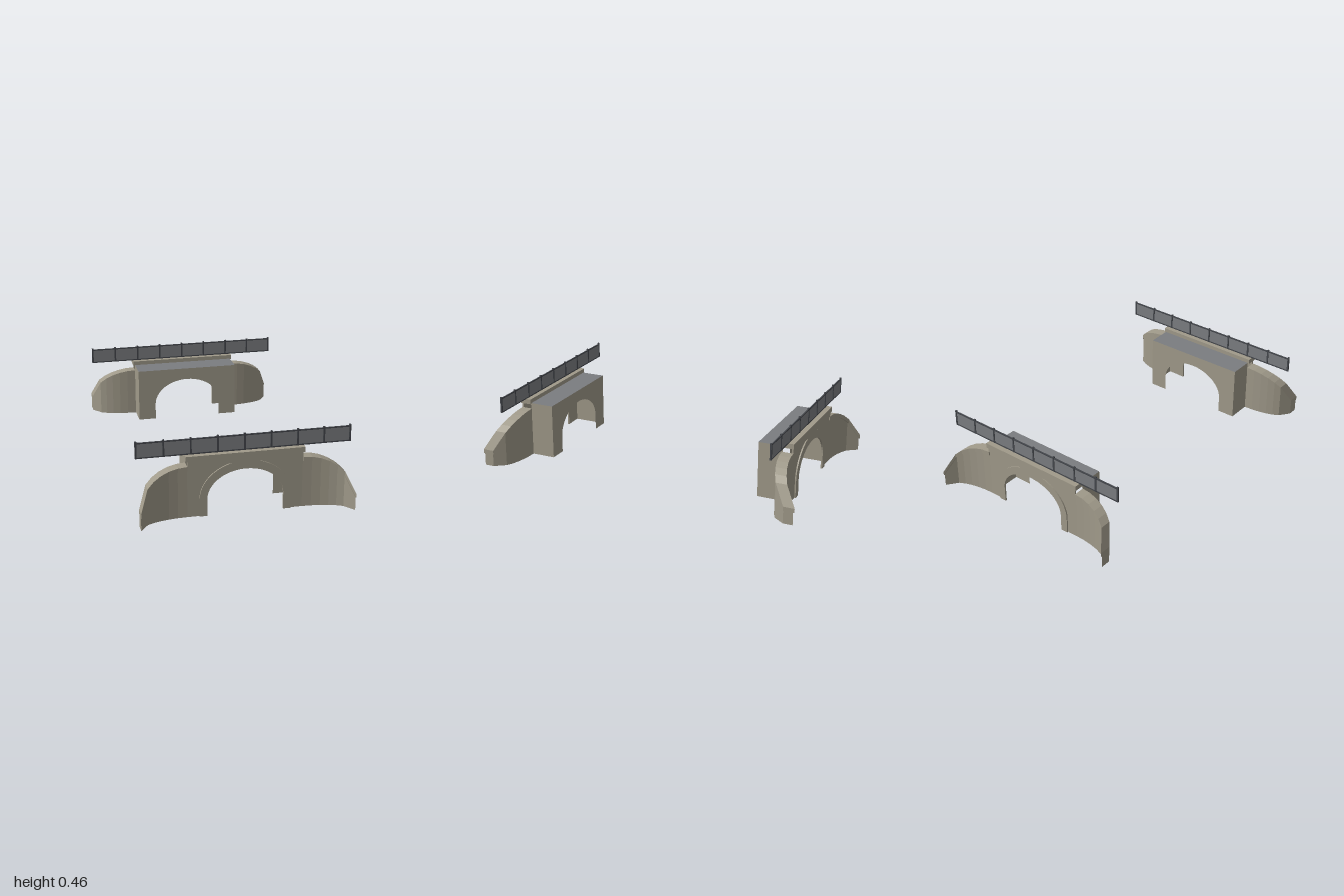
import * as THREE from 'three';

const mat = (name, color) => {
  const m = new THREE.MeshStandardMaterial({ color, side: THREE.DoubleSide });
  m.name = name;
  return m;
};

const HALF = 0.325;     // half width of the straight middle
const FRONT = 0.885;    // z of the outer face
const SPRING = 0.1;     // height where the arch starts to curve
const INNER = { a: 0.215, b: 0.162 };
const OUTER = { a: 0.258, b: 0.21 };
const CUT = Math.asin((0.3 - SPRING) / OUTER.b); // ring meets the frieze

// Points on an arch ellipse from angle t0 to t1
function arc({ a, b }, t0, t1, n = 14) {
  return Array.from({ length: n + 1 }, (_, i) => {
    const t = t0 + (t1 - t0) * i / n;
    return new THREE.Vector2(a * Math.cos(t), SPRING + b * Math.sin(t));
  });
}
const v2 = (x, y) => new THREE.Vector2(x, y);

// Loft of four-cornered sections with flat facets and closed ends
function loft(sections, flip) {
  const pos = [];
  const quad = (a, b, c, d) => {
    const q = flip ? [a, c, b, a, d, c] : [a, b, c, a, c, d];
    q.forEach(p => pos.push(...p));
  };
  for (let i = 0; i < sections.length - 1; i++) {
    const s = sections[i], e = sections[i + 1];
    for (let k = 0; k < 4; k++) {
      const n = (k + 1) % 4;
      quad(s[k], e[k], e[n], s[n]);
    }
  }
  quad(...sections[0]);
  quad(...[...sections[sections.length - 1]].reverse());
  const g = new THREE.BufferGeometry();
  g.setAttribute('position', new THREE.Float32BufferAttribute(pos, 3));
  g.computeVertexNormals();
  return g;
}

// Sections along the flared, falling wing; low and high give the y limits
function wingSections(side, zFront, zBack, low, high) {
  return [0, 11, 22, 33, 44, 56, 90].map(deg => {
    const t = deg * Math.PI / 180;
    const x = side * (HALF + (0.6 - HALF) * Math.sin(t));
    const out = 0.115 * (1 - Math.cos(t));
    const top = 0.1 + 0.2 * Math.cos(t);
    const y0 = low(top), y1 = high(top);
    return [[x, y0, zFront + out], [x, y1, zFront + out],
      [x, y1, zBack + out], [x, y0, zBack + out]];
  });
}

export function createModel() {
  const stone = mat('stone', 0xa09a8a);
  const asphalt = mat('asphalt', 0x7b7d80);
  const panelGrey = mat('panelGrey', 0x7c7e81);
  const iron = mat('iron', 0x44474c);

  function add(parent, name, geometry, material, x = 0, y = 0, z = 0) {
    const m = new THREE.Mesh(geometry, material);
    m.name = name;
    m.position.set(x, y, z);
    parent.add(m);
    return m;
  }

  function buildSide() {
    const g = new THREE.Group();

    // Curved wing walls with copings
    for (const s of [1, -1]) {
      const wing = s > 0 ? 'leftWing' : 'rightWing';
      add(g, wing + 'Wall', loft(wingSections(s, FRONT - 0.008, FRONT - 0.065,
        () => 0, t => t - 0.022), s < 0), stone);
      add(g, wing + 'Coping', loft(wingSections(s, FRONT, FRONT - 0.067,
        t => t - 0.025, t => t), s < 0), stone);

      // Recessed wall beside the arch ring
      const spandrel = new THREE.Shape([
        v2(s * HALF, 0), v2(s * OUTER.a, 0),
        ...arc(OUTER, 0, CUT).map(p => v2(s * p.x, p.y)),
        v2(s * HALF, 0.3),
      ]);
      add(g, s > 0 ? 'leftSpandrel' : 'rightSpandrel',
        new THREE.ShapeGeometry(spandrel), stone, 0, 0, FRONT - 0.008);
    }

    // Arch ring and frieze in one raised piece
    const ring = new THREE.Shape([
      v2(OUTER.a, 0), ...arc(OUTER, 0, CUT),
      v2(HALF, 0.3), v2(HALF, 0.332), v2(-HALF, 0.332), v2(-HALF, 0.3),
      ...arc(OUTER, Math.PI - CUT, Math.PI), v2(-OUTER.a, 0),
      v2(-INNER.a, 0), ...arc(INNER, Math.PI, 0, 24), v2(INNER.a, 0),
    ]);
    add(g, 'archRing', new THREE.ExtrudeGeometry(ring, { depth: 0.01, bevelEnabled: false }),
      stone, 0, 0, FRONT - 0.01);

    // Parapet cap
    add(g, 'parapetCap', new THREE.BoxGeometry(0.67, 0.03, 0.07), stone, 0, 0.345, 0.855);

    // Hollow bridge body: arched back plate, side plates and road surface
    const back = new THREE.Shape([
      v2(HALF, 0), v2(HALF, 0.335), v2(-HALF, 0.335), v2(-HALF, 0),
      v2(-INNER.a, 0), ...arc(INNER, Math.PI, 0, 24), v2(INNER.a, 0),
    ]);
    add(g, 'backPlate', new THREE.ShapeGeometry(back), stone, 0, 0, -0.675).rotation.y = Math.PI;
    g.getObjectByName('backPlate').position.z = 0.675;
    for (const s of [1, -1]) {
      add(g, s > 0 ? 'leftBodySide' : 'rightBodySide',
        new THREE.PlaneGeometry(0.147, 0.335), stone, s * HALF, 0.1675, 0.7485)
        .rotation.y = s * Math.PI / 2;
    }
    add(g, 'roadSurface', new THREE.PlaneGeometry(2 * HALF, 0.147), asphalt, 0, 0.335, 0.7485)
      .rotation.x = -Math.PI / 2;

    // Railing
    const railing = new THREE.Group();
    railing.name = 'railing';
    railing.position.z = 0.854;
    g.add(railing);
    add(railing, 'railPanel', new THREE.BoxGeometry(1.2, 0.084, 0.003), panelGrey, 0, 0.405);
    add(railing, 'bottomRail', new THREE.BoxGeometry(1.2, 0.007, 0.008), iron, 0, 0.3635);
    add(railing, 'topRail', new THREE.BoxGeometry(1.2, 0.007, 0.008), iron, 0, 0.4475);
    for (let i = -4; i <= 4; i++) {
      add(railing, 'railPost', new THREE.BoxGeometry(0.01, 0.098, 0.01), iron, i * 0.15, 0.409);
    }
    return g;
  }

  const model = new THREE.Group();
  model.name = 'bridgeEnds';
  const front = buildSide();
  front.name = 'frontSide';
  const rear = buildSide();
  rear.name = 'rearSide';
  rear.rotation.y = Math.PI;
  model.add(front, rear);
  return model;
}
